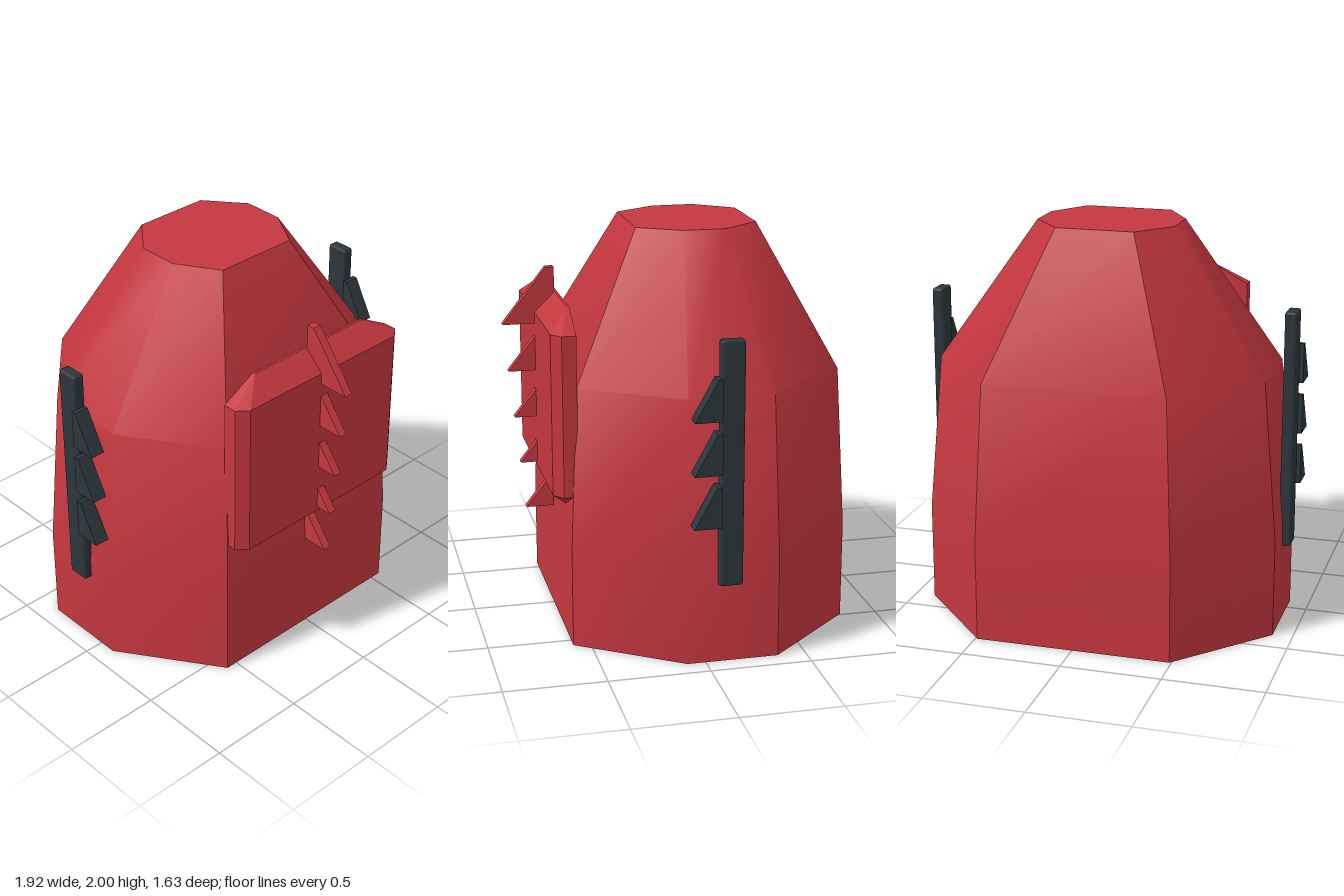
import * as THREE from 'three';
import { toCreasedNormals } from 'three/addons/utils/BufferGeometryUtils.js';
import { ConvexGeometry } from 'three/addons/geometries/ConvexGeometry.js';
import { RoundedBoxGeometry } from 'three/addons/geometries/RoundedBoxGeometry.js';

// Octagonal rings [y, right half outline as x,z pairs from front to back], lofted and capped.
function loft(rings) {
  const loops = rings.map(([y, half]) => {
    const right = half.map(([x, z]) => new THREE.Vector3(x, y, z));
    const left = half.map(([x, z]) => new THREE.Vector3(-x, y, z)).reverse();
    return [...right, ...left];
  });
  const points = [];
  const n = loops[0].length;
  for (let r = 0; r < loops.length - 1; r++) {
    for (let i = 0; i < n; i++) {
      const j = (i + 1) % n;
      const [a, b, c, d] = [loops[r][i], loops[r][j], loops[r + 1][j], loops[r + 1][i]];
      points.push(a, b, c, a, c, d);
    }
  }
  const bottom = loops[0];
  const top = loops[loops.length - 1];
  for (let i = 1; i < n - 1; i++) {
    points.push(bottom[0], bottom[i + 1], bottom[i], top[0], top[i], top[i + 1]);
  }
  const geometry = new THREE.BufferGeometry().setFromPoints(points);
  return toCreasedNormals(geometry, THREE.MathUtils.degToRad(36));
}

// Side profile given as (z, y) points, extruded across x and centred on x = 0.
function fin(profile, width) {
  const shape = new THREE.Shape(profile.map(([z, y]) => new THREE.Vector2(z, y)));
  const geometry = new THREE.ExtrudeGeometry(shape, { depth: width, bevelEnabled: false });
  return geometry.translate(0, 0, -width / 2).rotateY(-Math.PI / 2);
}

export function createModel() {
  const model = new THREE.Group();
  model.name = 'armourTorso';
  const red = new THREE.MeshStandardMaterial({ color: 0xc4373f });
  red.name = 'red';
  const dark = new THREE.MeshStandardMaterial({ color: 0x2c363c });
  dark.name = 'darkSlate';

  const add = (name, geometry, material, x = 0, y = 0, z = 0) => {
    const mesh = new THREE.Mesh(geometry, material);
    mesh.name = name;
    mesh.position.set(x, y, z);
    model.add(mesh);
  };

  // Main body: straight base, gentle taper, steep shoulders
  const base = [[0.56, 0.585], [0.9, 0.09], [0.9, -0.36], [0.49, -0.815]];
  add('body', loft([
    [0, base],
    [0.5, base],
    [1.3, [[0.525, 0.545], [0.828, 0.075], [0.828, -0.345], [0.455, -0.775]]],
    [2, [[0.22, 0.19], [0.347, -0.02], [0.347, -0.23], [0.195, -0.42]]],
  ]), red);

  // Chamfered chest panel
  const corners = [];
  for (const s of [-1, 1]) {
    for (const [x, y, z] of [
      [0.36, 1.66, 0.545], [0.36, 1.66, 0.558],
      [0.54, 1.56, 0.545], [0.54, 1.56, 0.615], [0.485, 1.56, 0.66],
      [0.54, 0.76, 0.545], [0.54, 0.76, 0.615], [0.485, 0.76, 0.66],
      [0.36, 0.672, 0.545], [0.36, 0.672, 0.58],
    ]) corners.push(new THREE.Vector3(s * x, y, z));
  }
  add('chestPanel', new ConvexGeometry(corners), red);

  // Row of chest fins, stepping down and slightly inward
  const chestFin = fin([[0.56, 0], [0.82, 0], [0.6, 0.28], [0.56, 0.28]], 0.044);
  for (let i = 0; i < 5; i++) {
    add('chestFin', chestFin, red, 0, 1.503 - i * 0.24, -i * 0.025);
  }

  // Side rails with three forward-pointing teeth each
  const rail = new RoundedBoxGeometry(0.06, 1.2, 0.115, 2, 0.012);
  const tooth = fin([[-0.06, 0], [0.075, 0], [-0.035, 0.2], [-0.06, 0.2]], 0.076);
  for (const s of [-1, 1]) {
    add('sideRail', rail, dark, s * 0.91, 1, -0.113);
    for (let i = 0; i < 3; i++) {
      add('sideTooth', tooth, dark, s * 0.922, 0.702 + i * 0.26, 0);
    }
  }
  return model;
}
